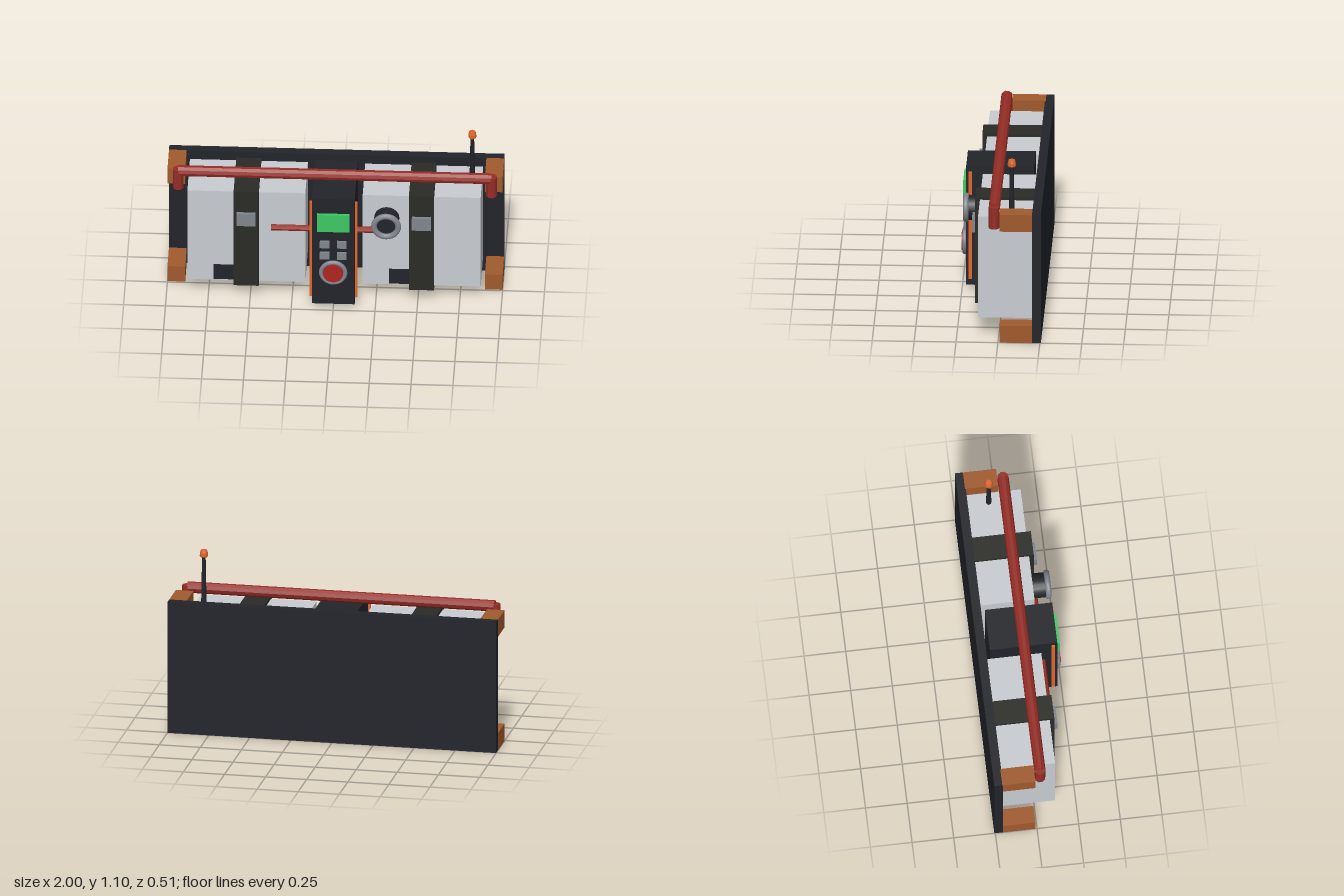
import * as THREE from 'three';

const mat = (color, flatShading = false) => {
  const m = new THREE.MeshStandardMaterial({ color });
  m.flatShading = flatShading;
  return m;
};
const DARK = mat(0x22242a), BROWN = mat(0xa05a2c), PALE = mat(0xc8ccd2), STRAP = mat(0x2a2a25);
const RED = mat(0x962d26, true), BUTTON = mat(0xb02520), ORANGE = mat(0xe0652a);
const GREEN = mat(0x3cc862), GREY = mat(0x80858e), CAP = mat(0xe0652a, true);

export function createModel() {
  const group = new THREE.Group();

  const add = (name, geometry, material, x, y, z) => {
    const mesh = new THREE.Mesh(geometry, material);
    mesh.name = name;
    mesh.position.set(x, y, z);
    group.add(mesh);
    return mesh;
  };
  // box given by its extents along each axis
  const box = (name, material, [x0, x1], [y0, y1], [z0, z1]) =>
    add(name, new THREE.BoxGeometry(x1 - x0, y1 - y0, z1 - z0), material,
      (x0 + x1) / 2, (y0 + y1) / 2, (z0 + z1) / 2);
  const rod = (name, material, r, length, axis, x, y, z, sides = 10) => {
    const g = new THREE.CylinderGeometry(r, r, length, sides);
    if (axis === 'x') g.rotateZ(Math.PI / 2);
    if (axis === 'z') g.rotateX(Math.PI / 2);
    return add(name, g, material, x, y, z);
  };

  // back plate
  box('backPlate', DARK, [-1, 1], [0, 0.817], [-0.256, -0.203]);

  for (const s of [-1, 1]) {
    // corner guards
    for (const y of [0.054, 0.763])
      box('cornerGuard', BROWN, [s * 0.947 - 0.053, s * 0.947 + 0.053],
        [y - 0.054, y + 0.054], [-0.208, -0.009]);

    // pale packs with a strap, buckle and tab
    const c = s * 0.523;
    box('pack', PALE, [c - 0.352, c + 0.352], [0.112, 0.756], [-0.203, 0.124]);
    box('strap', STRAP, [c - 0.075, c + 0.075], [0.095, 0.775], [-0.203, 0.152]);
    box('buckle', GREY, [c - 0.057, c + 0.057], [0.54, 0.627], [0.15, 0.173]);
    box('strapTab', DARK, [c - 0.195, c - 0.05], [0.125, 0.225], [0.11, 0.135]);

    // glowing strips beside the console
    box('sideStrip', ORANGE, [s * 0.133 - 0.01, s * 0.133 + 0.01], [0.073, 0.753], [0.19, 0.21]);

    // posts carrying the top rail
    rod('railPost', RED, 0.033, 0.134, 'y', s * 0.935, 0.776, 0.025);
  }

  // central console
  box('console', DARK, [-0.128, 0.128], [0.03, 0.79], [-0.18, 0.225]);
  box('screen', GREEN, [-0.097, 0.097], [0.563, 0.685], [0.222, 0.244]);
  for (const x of [-0.051, 0.051])
    for (const y of [0.385, 0.466])
      box('key', GREY, [x - 0.029, x + 0.029], [y - 0.023, y + 0.023], [0.222, 0.242]);
  rod('redButton', BUTTON, 0.06, 0.034, 'z', 0, 0.266, 0.239, 20);
  add('buttonRing', new THREE.TorusGeometry(0.072, 0.0135, 10, 28), GREY, 0, 0.266, 0.238);

  // port on the left pack
  rod('port', DARK, 0.075, 0.085, 'z', 0.315, 0.597, 0.163, 20);
  add('portRing', new THREE.TorusGeometry(0.072, 0.0175, 10, 28), GREY, 0.315, 0.597, 0.218);

  // cross rod and top rail
  rod('crossRod', RED, 0.019, 0.75, 'x', 0, 0.512, 0.135, 8);
  rod('topRail', RED, 0.034, 1.87, 'x', 0, 0.829, 0.025);

  // antenna with a coloured tip
  add('antenna', new THREE.CylinderGeometry(0.011, 0.017, 0.32, 8), DARK, 0.816, 0.9, -0.075);
  const tip = [[0, -0.022], [0.02, -0.022], [0.025, -0.015], [0.024, 0.005], [0.019, 0.022], [0, 0.022]]
    .map(([r, y]) => new THREE.Vector2(r, y));
  add('antennaTip', new THREE.LatheGeometry(tip, 10), CAP, 0.816, 1.077, -0.075);

  return group;
}
